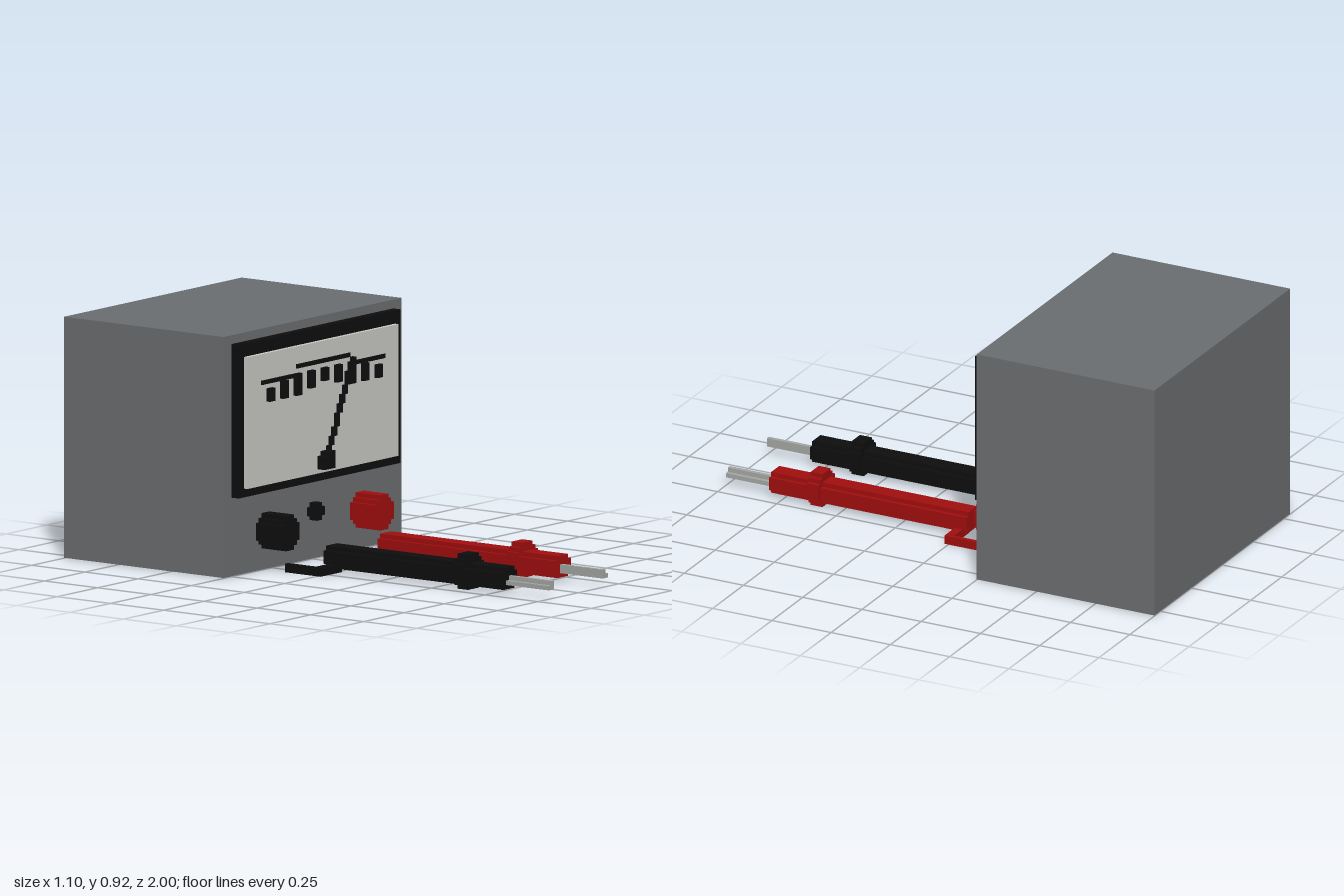
import * as THREE from 'three';

const V = 1 / 60; // one block

const mat = (name, color) => {
  const m = new THREE.MeshStandardMaterial({ color });
  m.name = name;
  return m;
};

export function createModel() {
  const grey = mat('case grey', 0x6b6e70);
  const black = mat('black', 0x0e0e0e);
  const red = mat('red', 0xa00e0e);
  const ivory = mat('dial ivory', 0xc8c9c4);
  const metal = mat('metal', 0xa3a6a3);

  const root = new THREE.Group();
  root.name = 'analogMeter';

  const group = (name) => {
    const g = new THREE.Group();
    g.name = name;
    root.add(g);
    return g;
  };

  // Box given by its limits in blocks
  const box = (parent, name, material, x0, x1, y0, y1, z0, z1) => {
    const mesh = new THREE.Mesh(
      new THREE.BoxGeometry((x1 - x0) * V, (y1 - y0) * V, (z1 - z0) * V), material);
    mesh.position.set((x0 + x1) / 2 * V, (y0 + y1) / 2 * V, (z0 + z1) / 2 * V);
    mesh.name = name;
    parent.add(mesh);
  };

  // Prism along z with an outline in blocks
  const prism = (parent, name, material, points, z0, z1) => {
    const shape = new THREE.Shape(points.map(([x, y]) => new THREE.Vector2(x * V, y * V)));
    const mesh = new THREE.Mesh(
      new THREE.ExtrudeGeometry(shape, { depth: (z1 - z0) * V, bevelEnabled: false }), material);
    mesh.position.z = z0 * V;
    mesh.name = name;
    parent.add(mesh);
  };

  // Stepped round outline: rows are [bottom, top, half width]
  const stepped = (cx, rows) => {
    const right = rows.flatMap(([y0, y1, w]) => [[cx + w, y0], [cx + w, y1]]);
    const left = rows.flatMap(([y0, y1, w]) => [[cx - w, y0], [cx - w, y1]]).reverse();
    return [...right, ...left];
  };

  // Case
  const body = group('case');
  box(body, 'caseBody', grey, -33, 33, 0.1, 55, -60, -15);
  box(body, 'baseStrip', black, -30, -24, 0, 0.1, -58, -17);

  // Dial
  const dial = group('dial');
  box(dial, 'bezel', black, -30, 30, 18, 53, -15, -13);
  box(dial, 'dialFace', ivory, -28, 28, 20, 50, -13, -12);

  // Scale lines, nearly flush with the dial
  for (const [x0, x1, y] of [[-23, -10, 43], [-10, 10, 45], [10, 23, 43]])
    box(dial, 'scaleLine', black, x0, x1, y, y + 1, -12, -11.8);

  // Scale ticks, mirrored about the centre
  const ticks = [[41, 44], [40, 44], [39, 44], [39, 43], [39, 42]];
  for (let i = -4; i <= 4; i++) {
    const [y0, y1] = ticks[Math.abs(i)];
    box(dial, 'scaleTick', black, i * 5 - 1, i * 5 + 1, y0, y1, -12, -11);
  }

  // Needle as a staircase, with its hub
  const steps = [24, 26, 28, 30, 33, 35, 37, 39, 42, 43, 45];
  for (let i = 0; i < 10; i++)
    box(dial, 'needleStep', black, i + 1, i + 2, steps[i], steps[i + 1], -12, -11);
  box(dial, 'needleHub', black, -2, 2, 21, 24, -12, -10);
  box(dial, 'needleHubTop', black, -1, 2, 24, 25, -12, -10);

  // Zero adjuster
  prism(root, 'zeroKnob', black,
    stepped(0, [[9, 10, 1], [10, 12, 2], [12, 13, 1]]), -15, -13);

  // Terminals and probes, one set per side
  for (const [side, color, label] of [[-1, black, 'right'], [1, red, 'left']]) {
    prism(root, label + 'Terminal', color,
      stepped(side * 17.5, [[5, 6, 1.5], [6, 7, 2.5], [7, 11, 3.5], [11, 12, 2.5], [12, 13, 1.5]]),
      -15, -8);

    const probe = group(label + 'Probe');
    const cx = side * 10;
    prism(probe, 'handle', color, stepped(cx, [[1, 2, 2], [2, 5, 3], [5, 6, 2]]), -2, 48);
    prism(probe, 'collar', color,
      stepped(cx, [[0, 1, 2], [1, 2, 3], [2, 6, 4], [6, 7, 3], [7, 8, 2]]), 35, 38);
    const tip = [[9, 2], [11, 2], [11, 3], [10, 3], [10, 4], [9, 4]];
    prism(probe, 'tip', metal, tip.map(([x, y]) => [side * x, y]), 48, 60);

    // Lead, bent once towards the terminal
    const lead = [[10, 17, -1, 1], [17, 18, -9, 1]];
    for (const [a, b, z0, z1] of lead)
      box(probe, 'lead', color, Math.min(side * a, side * b), Math.max(side * a, side * b), 0, 2, z0, z1);
  }

  return root;
}
